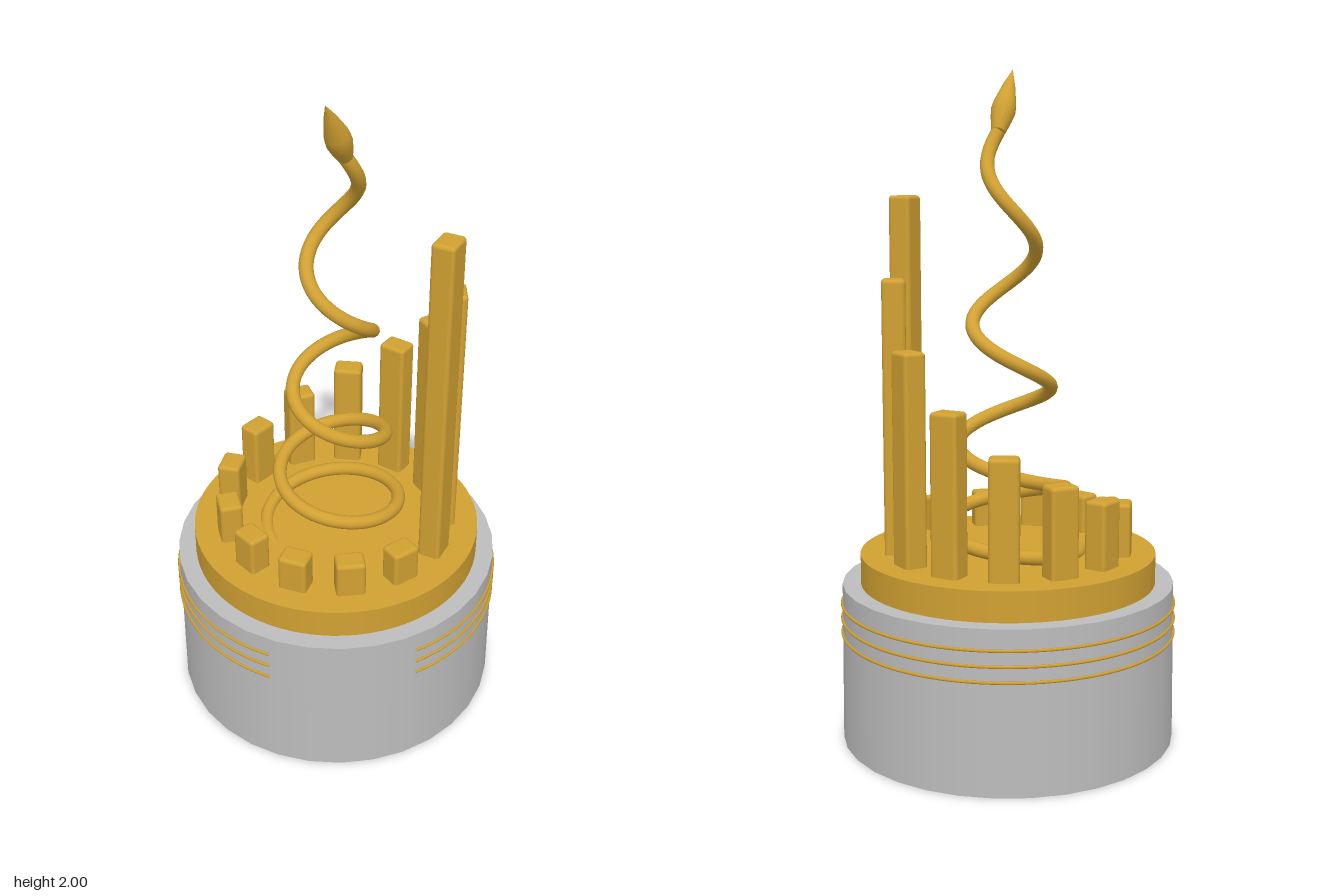
import * as THREE from 'three';
import { RoundedBoxGeometry } from 'three/addons/geometries/RoundedBoxGeometry.js';

const silver = new THREE.MeshStandardMaterial({ name: 'silver', color: 0xbcbcbc });
const gold = new THREE.MeshStandardMaterial({ name: 'gold', color: 0xd0a032 });

const DECK = 0.57;

// Spiral measured in quarter turns q: it narrows and steepens as it rises
class Spiral extends THREE.Curve {
  getPoint(t, target = new THREE.Vector3()) {
    const q = -4.4 + t * 15.75;
    const r = 0.18 - 0.0112 * q;
    const a = q * Math.PI / 2;
    return target.set(-r * Math.sin(a), 0.72 + 0.058 * q + 0.0034 * q * q, r * Math.cos(a));
  }
}

export function createModel() {
  const model = new THREE.Group();
  model.name = 'spiralSculpture';
  const add = (name, geometry, material, parent = model) => {
    const mesh = new THREE.Mesh(geometry, material);
    mesh.name = name;
    parent.add(mesh);
    return mesh;
  };

  // Drum base and raised deck
  add('base', new THREE.CylinderGeometry(0.5, 0.504, 0.48, 32), silver).position.y = 0.24;
  add('deck', new THREE.CylinderGeometry(0.445, 0.445, DECK - 0.48, 72), gold).position.y = (DECK + 0.48) / 2;

  // Three thin bands with a gap at the front left
  const bands = new THREE.Group();
  bands.name = 'bands';
  model.add(bands);
  for (const y of [0.33, 0.375, 0.42]) {
    const geometry = new THREE.TorusGeometry(0.502, 0.0045, 6, 96, THREE.MathUtils.degToRad(309));
    geometry.rotateZ(THREE.MathUtils.degToRad(81)).rotateX(Math.PI / 2);
    add('band', geometry, gold, bands).position.y = y;
  }

  // Ring of posts, growing shorter around the circle
  const posts = new THREE.Group();
  posts.name = 'posts';
  model.add(posts);
  const tops = [1.63, 1.39, 1.195, 1.04, 0.92, 0.835, 0.77, 0.73, 0.7, 0.69, 0.68, 0.68, 0.68];
  tops.forEach((top, i) => {
    const a = THREE.MathUtils.degToRad(4.3) + i * Math.PI * 2 / tops.length;
    const height = top - DECK + 0.03;
    const post = add('post', new RoundedBoxGeometry(0.07, height, 0.088, 3, 0.012), gold, posts);
    post.position.set(0.337 * Math.cos(a), top - height / 2, -0.337 * Math.sin(a));
    post.rotation.y = a;
  });

  // Rising spiral
  const path = new Spiral();
  add('spiral', new THREE.TubeGeometry(path, 300, 0.021, 12), gold);

  // Pointed head that carries on from the spiral
  const neck = path.getPoint(1);
  const tip = new THREE.Vector3(0.055, 2, 0.14);
  const axis = tip.clone().sub(neck);
  const length = axis.length();
  const profile = [[0, -0.02], [0.02, -0.02], [0.022, 0], [0.031, 0.17], [0.037, 0.32],
    [0.034, 0.45], [0.018, 0.75], [0, 1]].map(([r, t]) => new THREE.Vector2(r, t * length));
  const head = add('head', new THREE.LatheGeometry(profile, 12), gold);
  head.position.copy(neck);
  head.quaternion.setFromUnitVectors(new THREE.Vector3(0, 1, 0), axis.normalize());

  return model;
}
